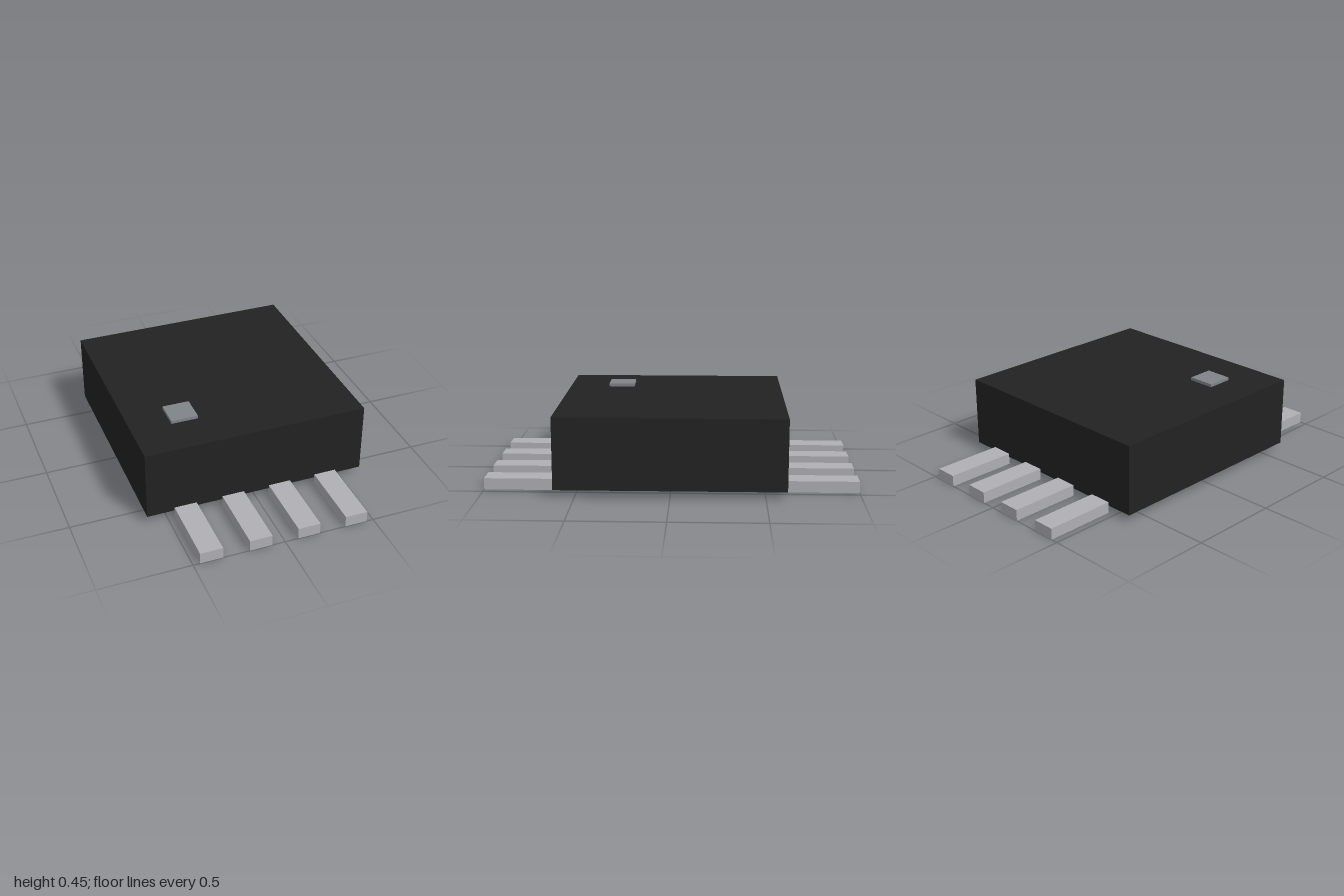
import * as THREE from 'three';

function material(name, color) {
  const m = new THREE.MeshStandardMaterial({ color });
  m.name = name;
  return m;
}

export function createModel() {
  const group = new THREE.Group();
  group.name = 'chipPackage';
  const black = material('black plastic', 0x222222);
  const metal = material('pin metal', 0xafafb4);
  const grey = material('marker grey', 0x808388);

  // Box resting on height y0
  function addBox(name, mat, [w, h, d], [x, y0, z]) {
    const mesh = new THREE.Mesh(new THREE.BoxGeometry(w, h, d), mat);
    mesh.name = name;
    mesh.position.set(x, y0 + h / 2, z);
    group.add(mesh);
  }

  // Housing and the raised marker beside the first pin
  addBox('body', black, [1.224, 0.387, 1.224], [0, 0.043, 0]);
  addBox('pinOneMarker', grey, [0.147, 0.017, 0.147], [-0.32, 0.43, 0.314]);

  // Four flat pins along the front and four along the back
  for (const side of [1, -1]) {
    for (let i = 0; i < 4; i++) {
      const x = (i - 1.5) * 0.267;
      addBox(side > 0 ? 'frontPin' : 'backPin', metal, [0.123, 0.062, 0.388], [x, 0, side * 0.806]);
    }
  }
  return group;
}
